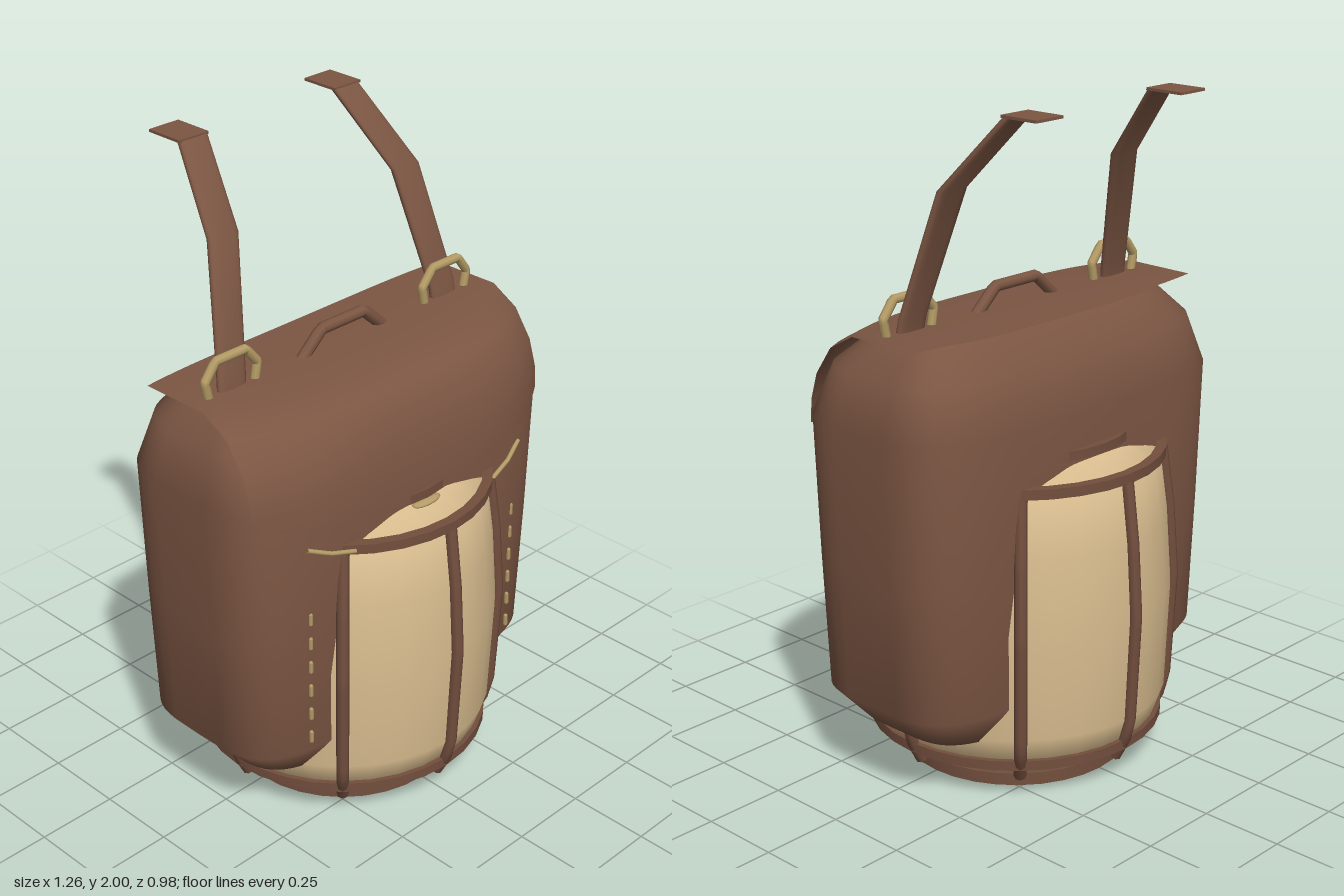
import * as THREE from 'three';
import { toCreasedNormals } from 'three/addons/utils/BufferGeometryUtils.js';

const material = (name, color) => {
  const m = new THREE.MeshStandardMaterial({ color, side: THREE.DoubleSide });
  m.name = name;
  return m;
};

// Stack of horizontal superellipse rings: [y, half width, half depth, centre x, centre z]
function loft(rings, power, sides) {
  const pos = [], idx = [];
  const bend = (v) => Math.sign(v) * Math.pow(Math.abs(v), 2 / power);
  rings.forEach(([y, a, b, cx = 0, cz = 0]) => {
    for (let i = 0; i < sides; i++) {
      const t = (i / sides) * Math.PI * 2;
      pos.push(cx + a * bend(Math.cos(t)), y, cz + b * bend(Math.sin(t)));
    }
  });
  for (let r = 0; r < rings.length - 1; r++) {
    for (let i = 0; i < sides; i++) {
      const a = r * sides + i, b = r * sides + (i + 1) % sides;
      idx.push(a, a + sides, b, b, a + sides, b + sides);
    }
  }
  const g = new THREE.BufferGeometry();
  g.setAttribute('position', new THREE.Float32BufferAttribute(pos, 3));
  g.setIndex(idx);
  g.computeVertexNormals();
  return g;
}

// Round tube along straight pieces
function rod(points, radius, segments = 24) {
  const path = new THREE.CurvePath();
  const v = points.map((p) => new THREE.Vector3(...p));
  for (let i = 1; i < v.length; i++) path.add(new THREE.LineCurve3(v[i - 1], v[i]));
  return new THREE.TubeGeometry(path, segments, radius, 8);
}

// Hoop with a rectangular section
function hoop(r, y, w, h) {
  const p = [[r - w, y], [r, y], [r, y + h], [r - w, y + h], [r - w, y]];
  return toCreasedNormals(new THREE.LatheGeometry(p.map((q) => new THREE.Vector2(...q)), 32), 0.6);
}

// Sheet draped over the top, wrapping round the front
function flapGeometry() {
  const mid = [[-0.19, 1.378], [0.15, 1.385], [0.24, 1.335], [0.305, 1.27], [0.335, 1.12], [0.34, 1.0]];
  const edge = [[-0.17, 1.383], [0.06, 1.385], [0.15, 1.335], [0.21, 1.25], [0.235, 1.17], [0.24, 1.1]];
  const cols = 20, pos = [], idx = [];
  mid.forEach(([z, y], r) => {
    for (let c = 0; c <= cols; c++) {
      const u = (c / cols) * 2 - 1, wz = u ** 4, wy = u * u;
      pos.push(0.585 * u, y + (edge[r][1] - y) * wy, z + (edge[r][0] - z) * wz);
      if (r && c) {
        const d = r * (cols + 1) + c, up = d - cols - 1;
        idx.push(up - 1, d - 1, up, up, d - 1, d);
      }
    }
  });
  const g = new THREE.BufferGeometry();
  g.setAttribute('position', new THREE.Float32BufferAttribute(pos, 3));
  g.setIndex(idx);
  g.computeVertexNormals();
  return g;
}

export function createModel() {
  const model = new THREE.Group();
  const leather = material('brown leather', 0x7c5643);
  const trim = material('dark leather trim', 0x734f3e);
  const canvas = material('tan canvas', 0xdabe90);
  const brass = material('brass', 0xb59c66);
  const add = (name, geometry, mat) => {
    const m = new THREE.Mesh(geometry, mat);
    m.name = name;
    model.add(m);
    return m;
  };

  // Bag body and closed top
  add('bagBody', loft([
    [0.158, 0.01, 0.005], [0.16, 0.39, 0.17], [0.19, 0.5, 0.25], [0.3, 0.6, 0.308],
    [0.7, 0.617, 0.318], [1.13, 0.632, 0.324], [1.28, 0.585, 0.27, 0, -0.005], [1.372, 0.49, 0.175, 0, -0.02],
  ], 4, 64), leather);
  add('bagTop', loft([[1.372, 0.49, 0.175, 0, -0.02], [1.374, 0.01, 0.005, 0, -0.02]], 4, 64), leather);
  add('flap', flapGeometry(), leather);

  // Barrel-shaped basket, open underneath
  const barrel = [[0.275, 0.03], [0.335, 0.038], [0.425, 0.11], [0.455, 0.2], [0.468, 0.53],
    [0.453, 0.75], [0.428, 0.94], [0.34, 0.985], [0.2, 1.0], [0.01, 1.0]];
  add('barrel', new THREE.LatheGeometry(barrel.map((p) => new THREE.Vector2(...p)), 32), canvas);
  add('baseHoop', hoop(0.345, 0, 0.04, 0.038), trim);
  add('lowerHoop', hoop(0.446, 0.1, 0.025, 0.03), trim);
  add('upperHoop', hoop(0.446, 0.932, 0.03, 0.03), trim);
  add('neckHoop', hoop(0.346, 1.0, 0.025, 0.028), trim);

  // Eight ribs around the barrel
  const ribPath = [[0.405, 0.065], [0.44, 0.13], [0.457, 0.2], [0.473, 0.53], [0.457, 0.75], [0.432, 0.935]];
  const ribGeometry = rod(ribPath.map(([r, y]) => [0, y, r]), 0.019);
  for (let i = 0; i < 8; i++) add('rib', ribGeometry, trim).rotation.y = (i * Math.PI) / 4;

  // Small button on the barrel lid
  const button = add('lidButton', new THREE.SphereGeometry(0.055, 16, 8), brass);
  button.scale.set(1, 0.18, 0.4);
  button.position.set(0, 0.985, 0.337);

  // Carry handle
  add('handle', rod([[-0.165, 1.37, 0], [-0.085, 1.442, 0], [0.085, 1.442, 0], [0.165, 1.37, 0]], 0.018), leather);

  for (const s of [-1, 1]) {
    // Shoulder strap with a flat end
    add('strap', loft([
      [1.36, 0.05, 0.014, s * 0.428, 0], [1.42, 0.05, 0.014, s * 0.422, -0.008],
      [1.78, 0.053, 0.015, s * 0.356, -0.1], [1.996, 0.05, 0.016, s * 0.292, -0.285],
    ], 3, 16), leather);
    add('strapEnd', new THREE.BoxGeometry(0.105, 0.008, 0.125), leather).position.set(s * 0.295, 1.996, -0.335);

    // Brass strap loop
    add('strapLoop', rod([[0.51, 1.36], [0.525, 1.43], [0.485, 1.482], [0.375, 1.482], [0.332, 1.43], [0.345, 1.36]]
      .map(([x, y]) => [s * x, y, 0]), 0.014, 36), brass);

    // Cord at the barrel's shoulder and a column of stitches
    add('cord', rod([[s * 0.44, 0.995, 0.302], [s * 0.37, 0.965, 0.325], [s * 0.29, 0.945, 0.34]], 0.007, 8), brass);
    for (let i = 0; i < 6; i++) {
      add('stitch', new THREE.CapsuleGeometry(0.007, 0.03, 3, 6), brass)
        .position.set(s * 0.425, 0.355 + i * 0.081, 0.298);
    }
  }
  return model;
}
